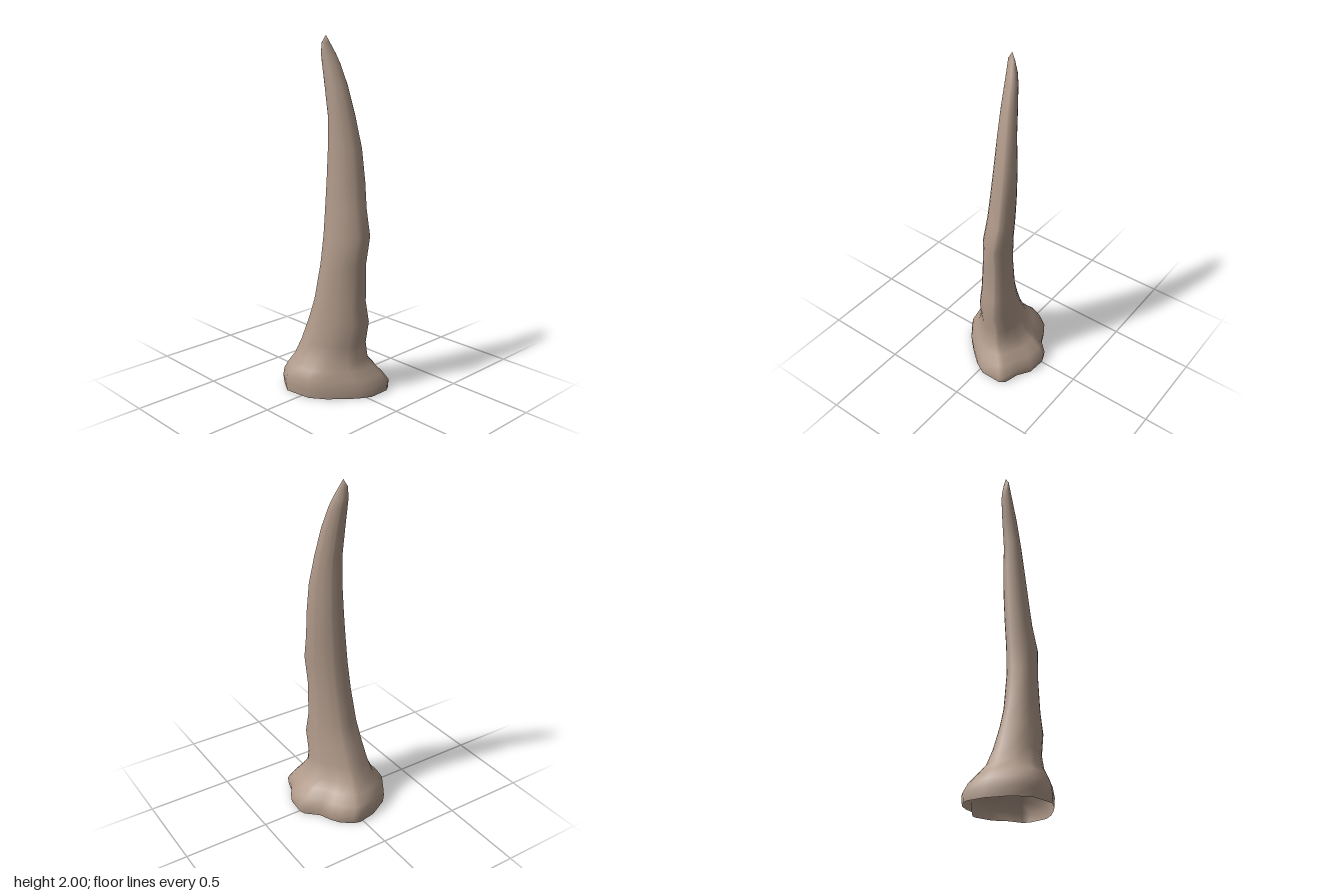
import * as THREE from 'three';

// Horn rings: height, x min, x max, z min, z max, weight of the irregular base outline
const RINGS = [
  [0, -0.285, 0.288, -0.265, 0.265, 1],
  [0.05, -0.29, 0.29, -0.27, 0.27, 1],
  [0.1, -0.27, 0.262, -0.238, 0.266, 0.95],
  [0.15, -0.23, 0.23, -0.19, 0.24, 0.75],
  [0.2, -0.192, 0.208, -0.14, 0.2, 0.5],
  [0.29, -0.15, 0.2, -0.122, 0.168, 0.2],
  [0.42, -0.102, 0.225, -0.115, 0.145, 0],
  [0.54, -0.065, 0.205, -0.102, 0.127, 0],
  [0.75, -0.032, 0.2, -0.1, 0.105, 0],
  [0.92, -0.027, 0.222, -0.108, 0.086, 0],
  [1.07, -0.026, 0.186, -0.112, 0.07, 0],
  [1.22, -0.026, 0.168, -0.115, 0.056, 0],
  [1.4, -0.026, 0.142, -0.11, 0.042, 0],
  [1.57, -0.026, 0.103, -0.092, 0.036, 0],
  [1.73, -0.05, 0.062, -0.072, 0.034, 0],
  [1.85, -0.066, 0.017, -0.052, 0.034, 0],
  [1.9, -0.071, -0.004, -0.038, 0.034, 0],
  [1.96, -0.062, -0.034, -0.015, 0.032, 0],
];
const TIP = [-0.05, 2, 0.006];

// Lumpy outline of the flared root, as x, z pairs
const OUTLINE = [
  [-0.29, -0.02], [-0.277, -0.06], [-0.23, -0.125], [-0.175, -0.16], [-0.105, -0.19],
  [-0.04, -0.26], [-0.005, -0.273], [0.105, -0.265], [0.18, -0.215], [0.268, -0.19],
  [0.29, -0.155], [0.29, -0.03], [0.25, 0.045], [0.19, 0.12], [0.13, 0.185],
  [0.05, 0.245], [-0.03, 0.258], [-0.11, 0.27], [-0.205, 0.21], [-0.27, 0.09],
].map(([x, z]) => [x / 0.29, z / 0.272]);

// Lean of the oval section towards the +x, -z diagonal
const LEAN = 0.37;

function hornGeometry() {
  const n = OUTLINE.length;
  const positions = [];
  const index = [];
  for (const [y, x0, x1, z0, z1, weight] of RINGS) {
    for (const [ox, oz] of OUTLINE) {
      const a = Math.atan2(oz, ox);
      const c = Math.cos(a);
      const s = Math.sin(a);
      const r = Math.sqrt((1 - LEAN * LEAN) / (1 + 2 * LEAN * c * s));
      const px = THREE.MathUtils.lerp(r * c, ox, weight);
      const pz = THREE.MathUtils.lerp(r * s, oz, weight);
      positions.push((x0 + x1) / 2 + px * (x1 - x0) / 2, y, (z0 + z1) / 2 + pz * (z1 - z0) / 2);
    }
  }
  positions.push(...TIP);
  const tip = RINGS.length * n;
  for (let j = 0; j < RINGS.length; j++) {
    for (let i = 0; i < n; i++) {
      const a = j * n + i;
      const b = j * n + (i + 1) % n;
      if (j === RINGS.length - 1) index.push(a, tip, b);
      else index.push(a, a + n, b, b, a + n, b + n);
    }
  }
  const geometry = new THREE.BufferGeometry();
  geometry.setAttribute('position', new THREE.Float32BufferAttribute(positions, 3));
  geometry.setIndex(index);
  geometry.computeVertexNormals();
  return geometry;
}

export function createModel() {
  const group = new THREE.Group();
  group.name = 'hornModel';
  // The root is open and hollow underneath
  const material = new THREE.MeshStandardMaterial({ color: 0xb09a8a, side: THREE.DoubleSide });
  material.name = 'hornBrown';
  const horn = new THREE.Mesh(hornGeometry(), material);
  horn.name = 'horn';
  group.add(horn);
  return group;
}
